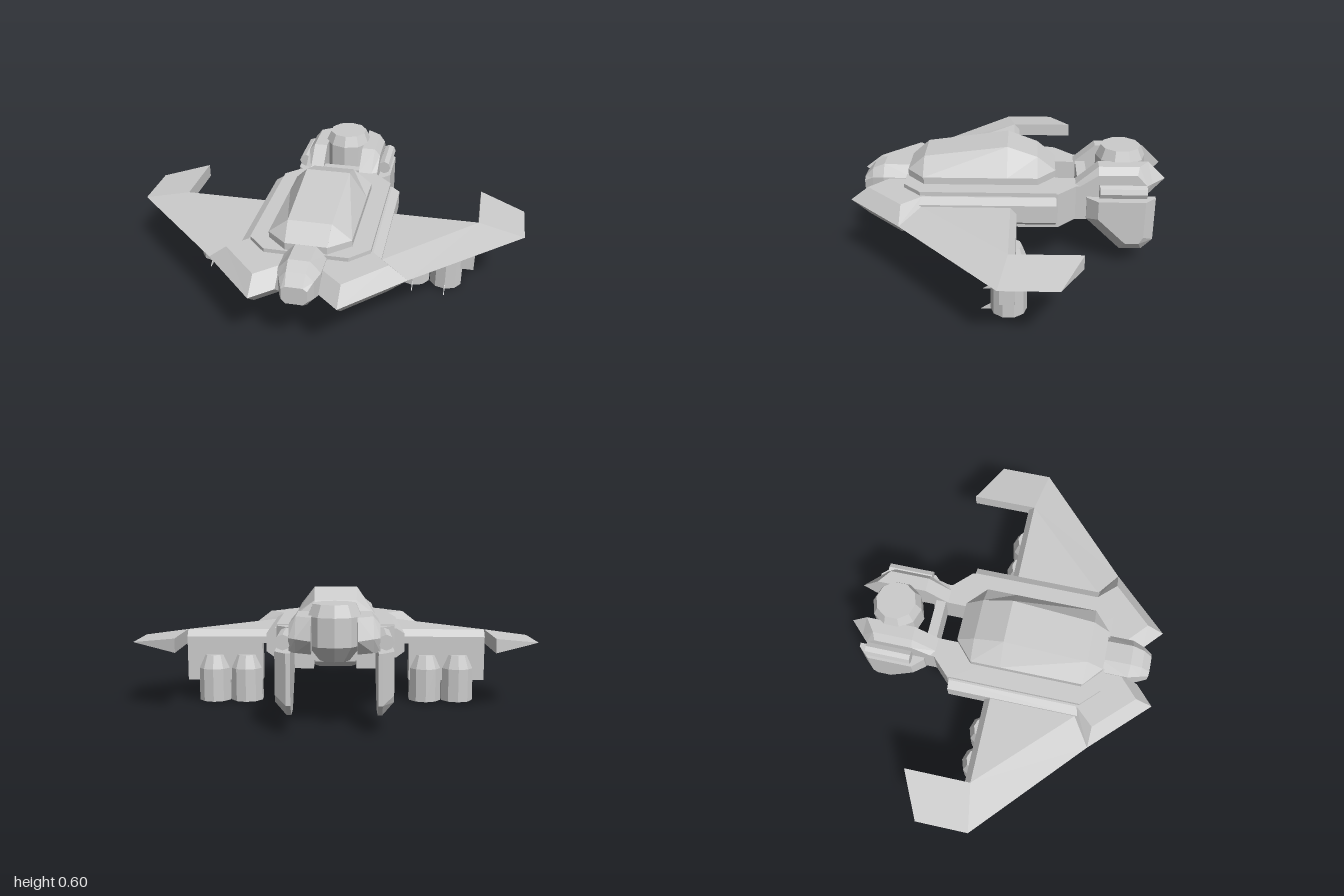
import * as THREE from 'three';

const material = new THREE.MeshStandardMaterial({ color: 0xcccccc, flatShading: true, side: THREE.DoubleSide });

// Skins a list of equal-length rings of [x, y, z] points and caps both ends.
function loft(rings) {
  const n = rings[0].length;
  const tris = [];
  const middle = (r) => [0, 1, 2].map((k) => r.reduce((s, p) => s + p[k], 0) / n);
  const first = rings[0], last = rings[rings.length - 1];
  const c0 = middle(first), c1 = middle(last);
  for (let i = 0; i < n; i++) {
    const j = (i + 1) % n;
    tris.push([c0, first[j], first[i]], [c1, last[i], last[j]]);
    for (let k = 0; k + 1 < rings.length; k++) {
      const a = rings[k], b = rings[k + 1];
      tris.push([a[i], a[j], b[j]], [a[i], b[j], b[i]]);
    }
  }
  // Signed volume tells whether the faces point outward.
  let volume = 0;
  for (const [a, b, c] of tris) {
    volume += new THREE.Vector3(...a).dot(new THREE.Vector3(...b).cross(new THREE.Vector3(...c)));
  }
  const out = tris.map(([a, b, c]) => (volume < 0 ? [a, c, b] : [a, b, c]));
  const geo = new THREE.BufferGeometry();
  geo.setAttribute('position', new THREE.Float32BufferAttribute(out.flat(2), 3));
  geo.computeVertexNormals();
  return geo;
}

// Plan outline [x, z] at height y, side outline [z, y] at x, front outline [x, y] at z.
const plan = (y, pts) => pts.map(([x, z]) => [x, y, z]);
const side = (x, pts) => pts.map(([z, y]) => [x, y, z]);
const front = (z, pts) => pts.map(([x, y]) => [x, y, z]);

// Elongated octagon symmetric in x.
function octagon(y, w, inner, z0, z1, z2, z3) {
  return plan(y, [[inner, z0], [w, z1], [w, z2], [inner, z3], [-inner, z3], [-w, z2], [-w, z1], [-inner, z0]]);
}

export function createModel() {
  const model = new THREE.Group();
  const add = (name, geo, parent = model) => {
    const mesh = new THREE.Mesh(geo, material);
    mesh.name = name;
    parent.add(mesh);
    return mesh;
  };
  const box = (w, h, d, x, y, z) => new THREE.BoxGeometry(w, h, d).translate(x, y, z);

  // Central hull, belly and canopy
  const hull = [[0.29, -0.24], [0.29, 0.42], [0.2, 0.51], [-0.2, 0.51], [-0.29, 0.42], [-0.29, -0.24]];
  add('hull', loft([plan(0.25, hull), plan(0.435, hull)]));
  add('belly', loft([
    octagon(0.25, 0.2, 0.1, 0.5, 0.41, -0.15, -0.24),
    octagon(0.217, 0.11, 0.08, 0.46, 0.4, -0.13, -0.19),
  ]));
  add('canopyBase', loft([
    octagon(0.43, 0.2, 0.1, 0.5, 0.41, -0.15, -0.24),
    octagon(0.47, 0.2, 0.1, 0.5, 0.41, -0.15, -0.24),
  ]));
  const arch = (z, w, y, top) => front(z, [[w, 0.46], [w, 0.47], [top, y], [-top, y], [-w, 0.47], [-w, 0.46]]);
  add('canopy', loft([
    arch(0.5, 0.1, 0.471, 0.1), arch(0.415, 0.2, 0.545, 0.105), arch(0, 0.2, 0.6, 0.11),
    arch(-0.15, 0.2, 0.545, 0.105), arch(-0.24, 0.1, 0.471, 0.1),
  ]));

  // Cockpit nose between the claws
  const noseRing = (z, w, t, y0, y1, y2, y3) => front(z, [
    [t, y0], [w, y1], [w, y2], [t, y3], [-t, y3], [-w, y2], [-w, y1], [-t, y0]]);
  add('noseCockpit', loft([
    noseRing(0.48, 0.1, 0.05, 0.25, 0.3, 0.42, 0.47),
    noseRing(0.63, 0.1, 0.05, 0.26, 0.31, 0.42, 0.475),
    noseRing(0.69, 0.08, 0.045, 0.28, 0.32, 0.41, 0.45),
    noseRing(0.735, 0.06, 0.04, 0.31, 0.33, 0.385, 0.4),
  ]));

  // Rear turret and its crossbar
  const profile = [[0, 0.31], [0.07, 0.32], [0.125, 0.39], [0.125, 0.52], [0.1, 0.575], [0, 0.575]];
  const turret = new THREE.LatheGeometry(profile.map(([r, y]) => new THREE.Vector2(r, y)), 10);
  add('turret', turret.translate(0, 0, -0.57));
  add('rearCrossbar', box(0.24, 0.15, 0.05, 0, 0.36, -0.375));

  for (const s of [1, -1]) {
    const half = new THREE.Group();
    half.name = s > 0 ? 'leftSide' : 'rightSide';
    half.scale.x = s;
    model.add(half);
    const part = (name, geo) => add(name, geo, half);

    // Front claw with a sharp rim
    const clawTop = [[0.1, 0.6], [0.2, 0.69], [0.385, 0.5], [0.3, 0.41], [0.1, 0.41]];
    const clawRim = [[0.1, 0.69], [0.2, 0.78], [0.475, 0.5], [0.34, 0.37], [0.1, 0.37]];
    part('frontClaw', loft([plan(0.27, clawTop), plan(0.345, clawRim), plan(0.415, clawTop)]));

    // Bevelled skirt along the hull
    const skirt = [[0.2, 0.27], [0.3, 0.27], [0.34, 0.3], [0.34, 0.39], [0.3, 0.415], [0.2, 0.415]];
    part('sideSkirt', loft([front(0.42, skirt), front(-0.24, skirt)]));

    // Wing panel and swept tip
    const fold = (back) => [[0.3, 0.41], [0.34, 0.41], [0.77, -0.02], [0.77, -0.02], [0.3, back]];
    part('wing', loft([
      plan(0.31, [[0.3, 0.41], [0.34, 0.41], [0.77, -0.02], [0.77, -0.05], [0.3, -0.05]]),
      plan(0.345, [[0.3, 0.5], [0.475, 0.5], [1, 0.02], [0.77, -0.05], [0.3, -0.05]]),
      plan(0.38, fold(-0.02)),
    ]));
    const tipRoot = [[0.77, -0.02], [0.77, -0.02], [0.77, -0.35], [0.77, -0.35]];
    part('wingTip', loft([
      plan(0.31, tipRoot),
      plan(0.345, [[0.77, -0.02], [1, 0.02], [1, -0.24], [0.77, -0.35]]),
      plan(0.38, tipRoot),
    ]));

    // Pylon with two engines, each with a small fin at its foot
    part('enginePylon', box(0.39, 0.2, 0.07, 0.575, 0.217, -0.015));
    for (const x of [0.465, 0.632]) {
      const pts = [[0, 0.01], [0.085, 0.01], [0.085, 0.18], [0.058, 0.25], [0, 0.25]];
      const engine = new THREE.LatheGeometry(pts.map(([r, y]) => new THREE.Vector2(r, y)), 10);
      part('engine', engine.translate(x, 0, -0.02));
      const fin = [[0.11, 0.002], [0.06, 0.035], [-0.01, 0.002]];
      part('engineFin', loft([side(x - 0.002, fin), side(x + 0.002, fin)]));
    }

    // Neck arm tapering back from the hull
    const neck = [[0.1, -0.22], [0.29, -0.22], [0.29, -0.25], [0.2, -0.34], [0.2, -0.42], [0.1, -0.42]];
    part('neckArm', loft([plan(0.25, neck), plan(0.43, neck)]));

    // Turret guard, longer on its inner face
    part('turretGuard', loft([
      side(0.1, [[-0.34, 0.43], [-0.45, 0.525], [-0.7, 0.525], [-0.79, 0.435], [-0.73, 0.37], [-0.4, 0.37]]),
      side(0.17, [[-0.34, 0.43], [-0.45, 0.525], [-0.65, 0.525], [-0.72, 0.435], [-0.69, 0.37], [-0.4, 0.37]]),
      side(0.2, [[-0.36, 0.43], [-0.45, 0.49], [-0.64, 0.49], [-0.69, 0.435], [-0.67, 0.37], [-0.4, 0.37]]),
    ]));

    // Hanging leg plate with a bevelled outer face
    part('legPlate', loft([
      side(0.19, [[-0.395, 0.375], [-0.735, 0.375], [-0.735, 0.145], [-0.68, 0.09], [-0.57, 0.09], [-0.395, 0.26]]),
      side(0.21, [[-0.395, 0.375], [-0.735, 0.375], [-0.735, 0.145], [-0.68, 0.09], [-0.57, 0.09], [-0.395, 0.26]]),
      side(0.262, [[-0.45, 0.375], [-0.68, 0.375], [-0.68, 0.18], [-0.66, 0.145], [-0.59, 0.145], [-0.45, 0.28]]),
    ]));
    // Hinge tube above the leg
    const hinge = new THREE.CylinderGeometry(0.035, 0.035, 0.23, 8).rotateX(Math.PI / 2);
    part('legHinge', hinge.translate(0.225, 0.415, -0.57));
  }
  return model;
}
